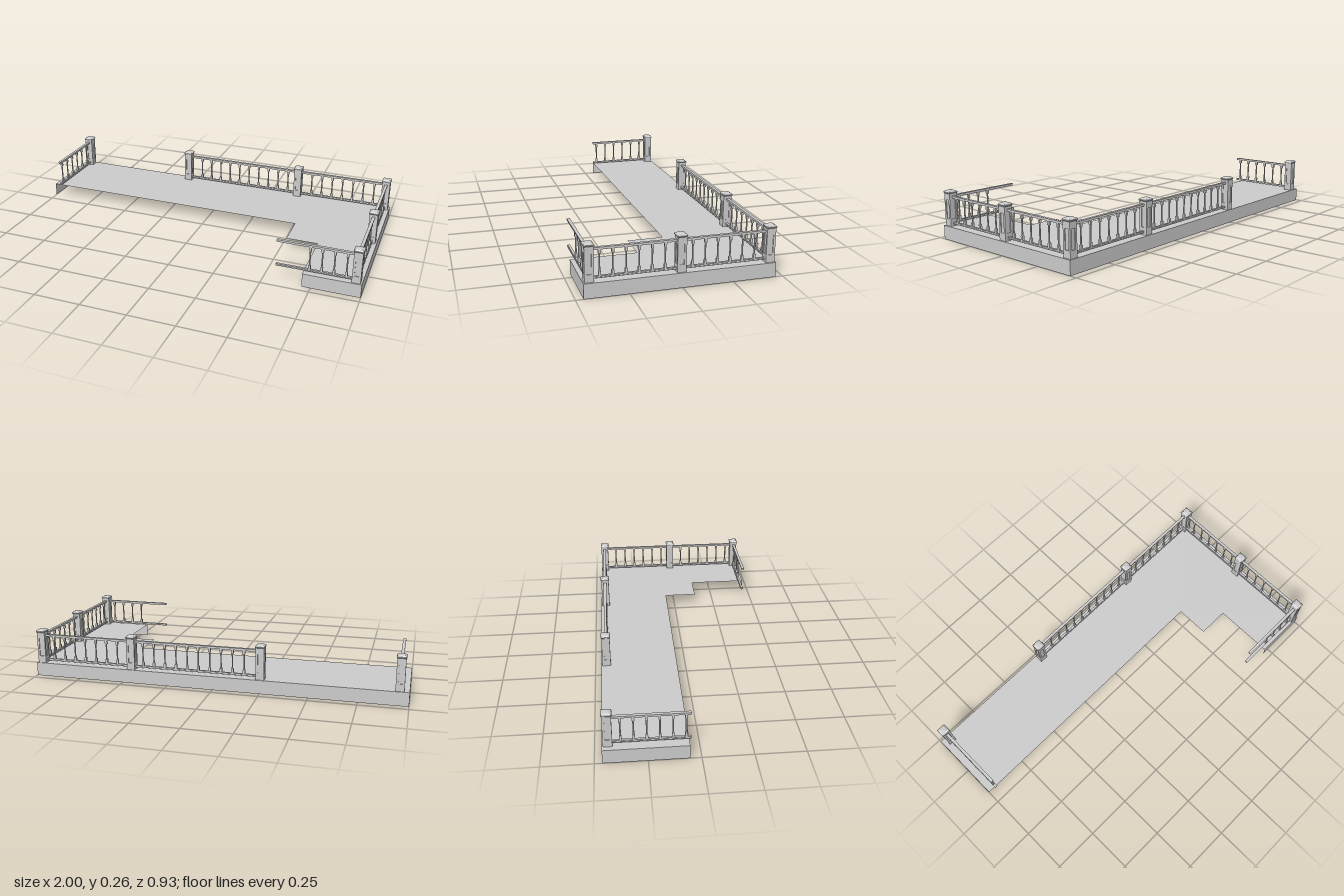
import * as THREE from 'three';

const mat = new THREE.MeshStandardMaterial({ color: 0xcccccc });
const flat = new THREE.MeshStandardMaterial({ color: 0xcccccc, flatShading: true });
const thin = new THREE.MeshStandardMaterial({ color: 0xcccccc, side: THREE.DoubleSide });

const FLOOR = 0.073, BACK = -0.463, FRONT = 0.463, ROW = 0.435, SIDE = 0.97, LEFT_END = -0.952;

function add(parent, name, geometry, x, y, z, material = mat) {
  const mesh = new THREE.Mesh(geometry, material);
  mesh.name = name;
  mesh.position.set(x, y, z);
  parent.add(mesh);
  return mesh;
}

// Stepped sheet floor with skirts hanging from its outer edges
function makeDeck() {
  const deck = new THREE.Group();
  deck.name = 'deck';
  const outline = [[-1, BACK], [1, BACK], [1, FRONT], [0.705, FRONT], [0.705, 0.13],
    [0.535, 0.13], [0.535, -0.055], [-1, -0.055]];
  const shape = new THREE.Shape(outline.map(([x, z]) => new THREE.Vector2(x, -z)));
  add(deck, 'floor', new THREE.ShapeGeometry(shape).rotateX(-Math.PI / 2), 0, FLOOR, 0, thin);
  const skirt = (name, [x0, z0], [x1, z1]) => {
    const g = new THREE.PlaneGeometry(Math.hypot(x1 - x0, z1 - z0), FLOOR);
    const m = add(deck, name, g, (x0 + x1) / 2, FLOOR / 2, (z0 + z1) / 2, thin);
    m.rotation.y = Math.atan2(z0 - z1, x1 - x0);
  };
  skirt('backSkirt', outline[1], outline[0]);
  skirt('leftSkirt', outline[2], outline[1]);
  skirt('frontSkirt', outline[3], outline[2]);
  skirt('rightSkirt', outline[0], outline[7]);
  return deck;
}

// Post: core, four frames around sunken panels, domed square cap
const POST_H = 0.17, POST_W = 0.044, RECESS = 0.004;
function frameGeometry(width) {
  const rect = (T, w, y0, y1) => new T([[-w, y0], [w, y0], [w, y1], [-w, y1]]
    .map(([x, y]) => new THREE.Vector2(x, y)));
  const shape = rect(THREE.Shape, width / 2, 0, POST_H);
  shape.holes.push(rect(THREE.Path, 0.011, 0.038, 0.136));
  return new THREE.ExtrudeGeometry(shape, { depth: RECESS, bevelEnabled: false });
}
const core = POST_W - 2 * RECESS;
const coreGeo = new THREE.BoxGeometry(core, POST_H, core);
const frames = [frameGeometry(POST_W), frameGeometry(core)];
const capProfile = [[0, -0.004], [0.022, -0.004], [0.025, 0], [0.025, 0.004], [0.021, 0.009], [0.013, 0.0125], [0, 0.014]];
const capGeo = new THREE.LatheGeometry(
  capProfile.map(([r, y]) => new THREE.Vector2(r * Math.SQRT2, y)), 4).rotateY(Math.PI / 4);

function makePost(x, z) {
  const post = new THREE.Group();
  post.name = 'post';
  post.position.set(x, FLOOR, z);
  add(post, 'postCore', coreGeo, 0, POST_H / 2, 0);
  for (let i = 0; i < 4; i++) {
    const a = i * Math.PI / 2;
    const frame = add(post, 'postFrame', frames[i % 2], Math.sin(a) * core / 2, 0, Math.cos(a) * core / 2);
    frame.rotation.y = a;
  }
  add(post, 'postCap', capGeo, 0, POST_H + 0.003, 0, flat);
  return post;
}

// Baluster: round shaft between square blocks
const shaftGeo = new THREE.LatheGeometry([[0.0055, 0.114], [0.004, 0.121], [0.0038, 0.155],
  [0.004, 0.194], [0.0055, 0.201]].map(([r, y]) => new THREE.Vector2(r, y)), 8);
const footGeo = new THREE.BoxGeometry(0.012, 0.022, 0.012);
const headGeo = new THREE.BoxGeometry(0.012, 0.02, 0.012);

// Railing along local +x, with balusters at first + i * step
function makeRailing(name, length, first, count, step = 0.0613) {
  const railing = new THREE.Group();
  railing.name = name;
  const rail = (part, y, h, w) => add(railing, part, new THREE.BoxGeometry(length, h, w), length / 2, y, 0);
  rail('topRail', 0.227, 0.006, 0.016);
  rail('topRailUnderside', 0.221, 0.006, 0.012);
  rail('bottomRail', 0.0915, 0.005, 0.012);
  rail('bottomRailBase', 0.0865, 0.005, 0.016);
  for (let i = 0; i < count; i++) {
    const x = first + i * step;
    add(railing, 'balusterFoot', footGeo, x, 0.104, 0);
    add(railing, 'balusterShaft', shaftGeo, x, 0, 0);
    add(railing, 'balusterHead', headGeo, x, 0.209, 0);
  }
  return railing;
}

export function createModel() {
  const model = new THREE.Group();
  model.name = 'railedDeck';
  model.add(makeDeck());
  for (const [x, z] of [[LEFT_END, -ROW], [-0.25, -ROW], [0.452, -ROW], [SIDE, -ROW], [SIDE, 0.003], [SIDE, ROW]]) {
    model.add(makePost(x, z));
  }
  // name, start x, start z, turn, length, first baluster, count
  const q = Math.PI / 2;
  const runs = [
    ['backRailing', -0.25, -ROW, 0, 0.702, 0.087, 10],
    ['backCornerRailing', 0.452, -ROW, 0, 0.518, 0.083, 7],
    ['sideFrontRailing', SIDE, ROW, q, 0.432, 0.052, 6],
    ['sideBackRailing', SIDE, 0.003, q, 0.438, 0.058, 6],
    ['frontRailing', SIDE, ROW + 0.003, 2 * q, 0.407, 0.052, 4],
    ['endRailing', LEFT_END, -ROW, -q, 0.39, 0.06, 6],
  ];
  for (const [name, x, z, turn, length, first, count] of runs) {
    const railing = makeRailing(name, length, first, count);
    railing.position.set(x, 0, z);
    railing.rotation.y = turn;
    model.add(railing);
  }
  return model;
}
